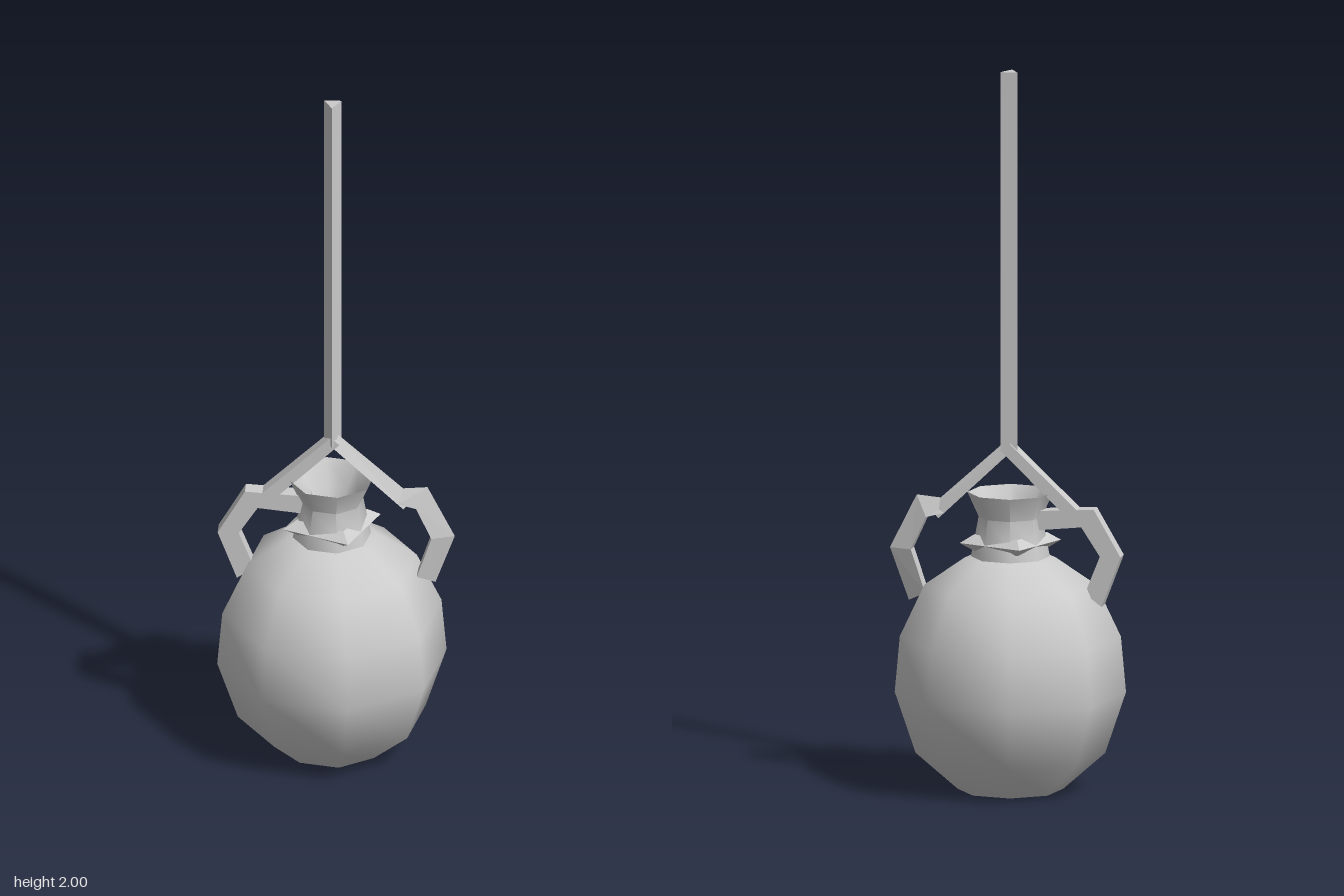
import * as THREE from 'three';
import { toCreasedNormals } from 'three/addons/utils/BufferGeometryUtils.js';

const material = new THREE.MeshStandardMaterial({ color: 0xcccccc });
const CX = -0.013; // axis of the jar

// Flat-faced bar lofted through rings of equal corner count, capped at both ends
function loft(rings) {
  const n = rings[0].length, tris = [];
  for (let i = 0; i < rings.length - 1; i++) {
    for (let j = 0; j < n; j++) {
      const k = (j + 1) % n, a = rings[i], b = rings[i + 1];
      tris.push([a[j], a[k], b[k]], [a[j], b[k], b[j]]);
    }
  }
  const end = rings[rings.length - 1];
  for (let j = 1; j < n - 1; j++) {
    tris.push([rings[0][0], rings[0][j + 1], rings[0][j]], [end[0], end[j], end[j + 1]]);
  }
  // turn the faces outward whichever way the rings run
  const volume = tris.reduce((s, [a, b, c]) => s + a.dot(b.clone().cross(c)), 0);
  const points = tris.flatMap(t => (volume < 0 ? [t[0], t[2], t[1]] : t));
  const geometry = new THREE.BufferGeometry().setFromPoints(points);
  geometry.computeVertexNormals();
  return geometry;
}

// Each station is [outerX, outerY, innerX, innerY]
const Z0 = -0.018, Z1 = 0.027, ZM = 0.005;
const v = (x, y, z) => new THREE.Vector3(x, y, z);
const squareRing = ([ox, oy, ix, iy]) => [v(ox, oy, Z0), v(ix, iy, Z0), v(ix, iy, Z1), v(ox, oy, Z1)];
const wedgeRing = ([ox, oy, ix, iy]) => [v(ox, oy, ZM), v(ix, iy, Z0), v(ix, iy, Z1)];

export function createModel() {
  const model = new THREE.Group();
  const add = (name, geometry, x = 0, y = 0, z = 0) => {
    const mesh = new THREE.Mesh(geometry, material);
    mesh.name = name;
    mesh.position.set(x, y, z);
    model.add(mesh);
    return mesh;
  };
  const lathe = (points, crease) => toCreasedNormals(
    new THREE.LatheGeometry(points.map(p => new THREE.Vector2(...p)), 8, 0.197), crease);

  // Eight-sided jar body
  add('body', lathe([[0.145, 0], [0.26, 0.1], [0.317, 0.27], [0.303, 0.425],
    [0.235, 0.57], [0.125, 0.645], [0.08, 0.655]], 0.87), CX);
  add('base', lathe([[0, 0], [0.145, 0]], 0.5), CX);

  // Flared neck with a hollow mouth
  add('neck', lathe([[0.11, 0.64], [0.1, 0.69], [0.087, 0.76], [0.118, 0.828],
    [0.07, 0.765], [0.055, 0.71], [0, 0.7]], 0.9), CX);

  // Four-cornered cord tied around the neck
  const cord = new THREE.TorusGeometry(0.115, 0.026, 3, 4).toNonIndexed();
  cord.rotateX(Math.PI / 2);
  cord.computeVertexNormals();
  add('neckCord', cord, CX, 0.69, 0).rotation.y = THREE.MathUtils.degToRad(22);

  // Handles: square strip on one side, wedge on the other
  add('rightHandle', loft([[-0.07, 0.78, -0.07, 0.725], [-0.25, 0.79, -0.215, 0.74],
    [-0.325, 0.66, -0.267, 0.66], [-0.272, 0.52, -0.225, 0.555]].map(squareRing)));
  add('leftHandle', loft([[0.14, 0.8, 0.17, 0.765], [0.25, 0.81, 0.22, 0.752],
    [0.325, 0.66, 0.262, 0.66], [0.272, 0.515, 0.222, 0.54]].map(wedgeRing)));

  // Sloping ropes from the handles to the knot
  add('rightRope', loft([[-0.215, 0.775, -0.19, 0.75], [-0.015, 0.965, 0.01, 0.945]].map(squareRing)));
  add('leftRope', loft([[0.215, 0.775, 0.185, 0.75], [0.005, 0.965, -0.02, 0.945]].map(wedgeRing)));

  // Three-sided hanging rope
  const ropeRing = y => [v(-0.035, y, -0.01), v(-0.011, y, 0.035), v(0.013, y, -0.01)];
  add('hangingRope', loft([ropeRing(0.94), ropeRing(2)]));

  return model;
}
